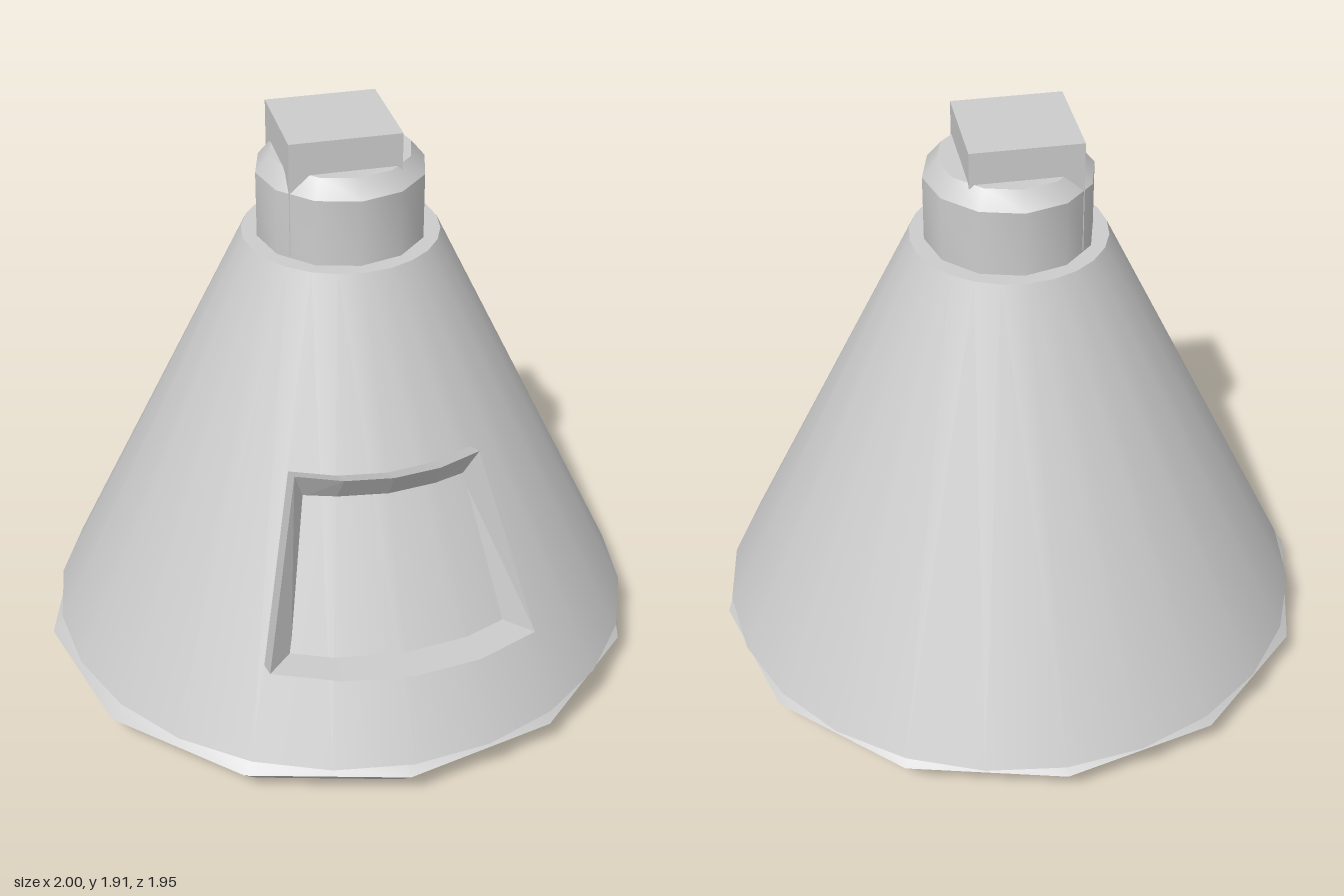
import * as THREE from 'three';
import { toCreasedNormals } from 'three/addons/utils/BufferGeometryUtils.js';

const CX = 0.01; // the hull sits very slightly off the shield's centre
const hull = { y0: 0.165, r0: 0.975, y1: 1.54, r1: 0.312 };
const hullRadius = (y) =>
  hull.r0 + ((y - hull.y0) / (hull.y1 - hull.y0)) * (hull.r1 - hull.r0);

function mesh(name, geometry, options = {}) {
  const m = new THREE.Mesh(
    geometry,
    new THREE.MeshStandardMaterial({ color: 0xcccccc, ...options })
  );
  m.name = name;
  return m;
}

// Turned part from [radius, height] pairs, listed bottom to top
function turned(name, profile, sides) {
  const points = profile.map(([r, y]) => new THREE.Vector2(r, y));
  return mesh(name, toCreasedNormals(new THREE.LatheGeometry(points, sides), 0.55));
}

// Sector outline on the hull, counter-clockwise seen from the front
function sector(yTop, yBottom, halfAngle) {
  const angles = [halfAngle, 15, 0, -15, -halfAngle];
  const row = (y, list) =>
    list.map((deg) => {
      const a = THREE.MathUtils.degToRad(deg);
      const r = hullRadius(y);
      return new THREE.Vector3(r * Math.sin(a), y, r * Math.cos(a));
    });
  return [...row(yTop, angles), ...row(yBottom, [...angles].reverse())];
}

// Raised hatch rim: outer foot, sharp ridge, inner foot
function hatchGeometry() {
  const outer = sector(0.992, 0.443, 30);
  const lift = new THREE.Vector3(0, 0.043, 0.092);
  const ridge = outer.map((p) => p.clone().add(lift));
  const inner = sector(0.935, 0.485, 25).map((p, i) =>
    // carry the inner slope a little below the hull skin
    p.add(p.clone().sub(ridge[i]).multiplyScalar(0.15))
  );
  const rings = [outer, ridge, inner];
  const n = outer.length;
  const index = [];
  for (let k = 0; k < 2; k++) {
    for (let i = 0; i < n; i++) {
      const j = (i + 1) % n;
      const a = k * n + i, b = k * n + j, c = a + n, d = b + n;
      index.push(a, b, d, a, d, c);
    }
  }
  const g = new THREE.BufferGeometry().setFromPoints(rings.flat());
  g.setIndex(index);
  g.computeVertexNormals();
  return g;
}

export function createModel() {
  const group = new THREE.Group();
  group.name = 'capsule';

  // Twelve-sided heat shield, slightly narrower front to back
  const shield = turned('heatShield',
    [[0, 0], [0.89, 0], [1, 0.107], [0.94, 0.165], [0, 0.165]], 12);
  shield.scale.z = 0.966;
  group.add(shield);

  // Conical hull
  const cone = turned('hull',
    [[0, hull.y0], [hull.r0, hull.y0], [hull.r1, hull.y1], [0, hull.y1]], 24);
  cone.position.set(CX, 0, -0.004);
  group.add(cone);

  // Neck with chamfered top
  const neck = turned('neck',
    [[0.267, 1.53], [0.267, 1.755], [0.222, 1.81], [0, 1.81]], 12);
  neck.position.set(CX, 0, -0.004);
  group.add(neck);

  // Square block rising through the neck
  const block = mesh('dockingBlock', new THREE.BoxGeometry(0.35, 0.37, 0.337));
  block.position.set(-0.014, 1.73, -0.004);
  group.add(block);

  // Hatch rim on the front of the hull
  const hatch = mesh('hatchFrame', hatchGeometry(),
    { flatShading: true, side: THREE.DoubleSide });
  hatch.position.set(CX + 0.003, 0, -0.003);
  group.add(hatch);

  return group;
}
